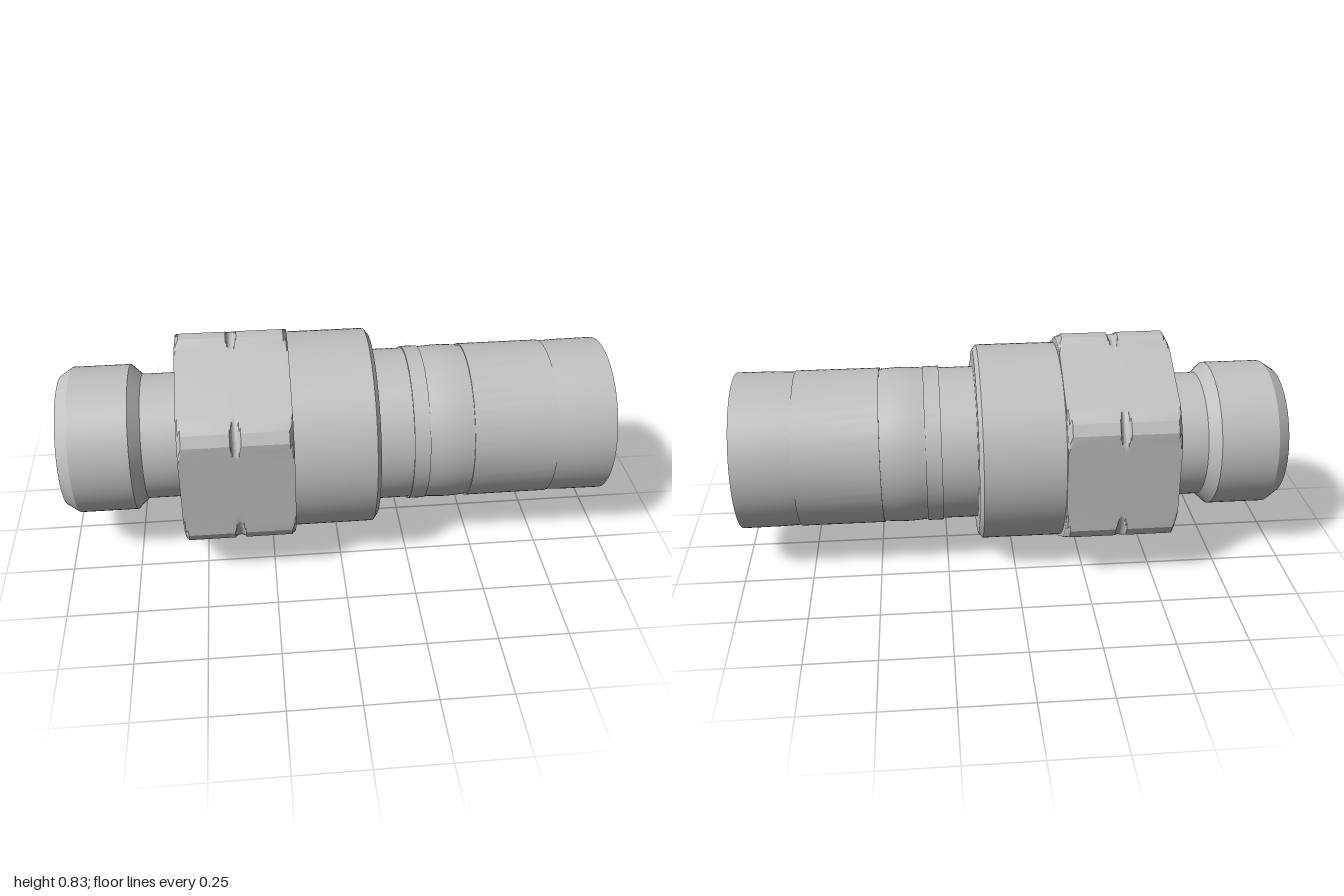
import * as THREE from 'three';
import { toCreasedNormals } from 'three/addons/utils/BufferGeometryUtils.js';

const AXIS_Y = 0.414;
const CREASE = 0.3;

export function createModel() {
  const group = new THREE.Group();
  const steel = new THREE.MeshStandardMaterial({ color: 0xc0c0c0 });
  steel.name = 'steel grey';

  const add = (name, geometry) => {
    const mesh = new THREE.Mesh(toCreasedNormals(geometry, CREASE), steel);
    mesh.name = name;
    mesh.position.y = AXIS_Y;
    group.add(mesh);
  };

  // Turned part: profile of [x along axis, radius], outside running towards +x
  const turned = (name, profile) => {
    const points = profile.map(([x, r]) => new THREE.Vector2(r, x));
    add(name, new THREE.LatheGeometry(points, 96).rotateZ(-Math.PI / 2));
  };

  // Spigot with chamfered rim and undercut neck
  turned('spigot', [
    [-1, 0.177], [-1, 0.24], [-0.955, 0.27], [-0.745, 0.27],
    [-0.705, 0.232], [-0.57, 0.232],
  ]);

  // Round collar behind the nut
  turned('collar', [[-0.17, 0.364], [0.12, 0.364], [0.135, 0.345], [0.135, 0.28]]);

  // Stepped sleeve, seal band and flared open mouth
  const band = [];
  for (let i = 0; i <= 8; i++) {
    const t = i / 8;
    band.push([0.32 + 0.16 * t, 0.284 + 0.005 * Math.sin(Math.PI * t)]);
  }
  turned('sleeve', [
    [0.135, 0.283], [0.262, 0.283], [0.262, 0.289], [0.32, 0.289],
    ...band,
    [0.48, 0.289], [0.785, 0.289], [0.785, 0.285], [0.86, 0.288], [1, 0.289],
    [1, 0.281], [0.785, 0.258], [0.785, 0.18],
  ]);

  // Inner nozzle with rounded lip, through bore and conical seat
  const lip = [];
  for (let i = 0; i <= 16; i++) {
    const a = (Math.PI * i) / 16;
    lip.push([0.965 + 0.0225 * Math.sin(a), 0.1605 + 0.0225 * Math.cos(a)]);
  }
  turned('nozzleAndBore', [[0.785, 0.183], ...lip, [-0.82, 0.138], [-1, 0.177]]);

  add('hexNut', hexNutGeometry());
  return group;
}

// Hex with cut corners, trimmed by a turned envelope (end chamfers and corner notches)
function hexNutGeometry() {
  const STEPS = 120, FLAT = 0.37, CORNER = 0.4147, NOTCH_X = -0.37;
  const sections = [[-0.57, 0.23], [-0.57, 0.39], [-0.564, 0.402], [-0.555, 0.43]];
  for (let i = 0; i <= 12; i++) {
    const a = (Math.PI * i) / 12;
    sections.push([NOTCH_X - 0.02 * Math.cos(a), 0.428 - 0.034 * Math.sin(a)]);
  }
  sections.push([-0.185, 0.43], [-0.176, 0.402], [-0.17, 0.39], [-0.17, 0.36]);

  const positions = [], indices = [];
  const sector = Math.PI / 3;
  sections.forEach(([x, envelope], row) => {
    for (let j = 0; j <= STEPS; j++) {
      const angle = (j / STEPS) * Math.PI * 2;
      const fromCorner = Math.abs(angle - Math.round(angle / sector) * sector);
      const r = Math.min(
        FLAT / Math.cos(sector / 2 - fromCorner),
        CORNER / Math.cos(fromCorner),
        envelope
      );
      positions.push(x, r * Math.cos(angle), r * Math.sin(angle));
      if (row < sections.length - 1 && j < STEPS) {
        const a = row * (STEPS + 1) + j, b = a + STEPS + 1;
        indices.push(a, a + 1, b, a + 1, b + 1, b);
      }
    }
  });
  const geometry = new THREE.BufferGeometry();
  geometry.setAttribute('position', new THREE.Float32BufferAttribute(positions, 3));
  geometry.setIndex(indices);
  return geometry;
}
